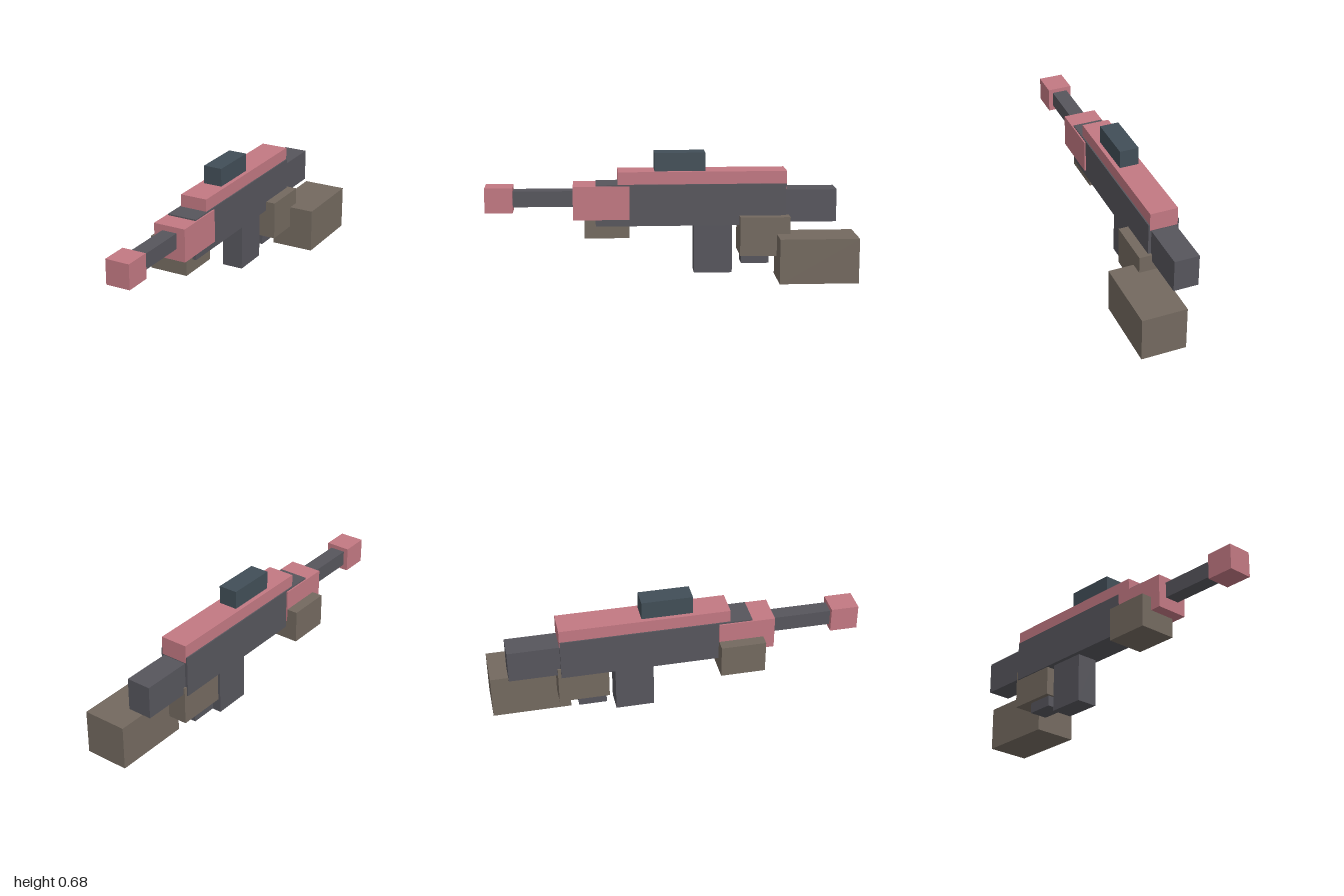
import * as THREE from 'three';

const material = (color) => new THREE.MeshStandardMaterial({ color, flatShading: true });

export function createModel() {
  const model = new THREE.Group();
  const dark = material(0x56555c);
  const pink = material(0xc27882);
  const brown = material(0x73695f);
  const slate = material(0x414e57);

  // Box given by its extents along each axis
  function block(name, mat, [x0, x1], [y0, y1], [z0, z1]) {
    const mesh = new THREE.Mesh(new THREE.BoxGeometry(x1 - x0, y1 - y0, z1 - z0), mat);
    mesh.position.set((x0 + x1) / 2, (y0 + y1) / 2, (z0 + z1) / 2);
    mesh.name = name;
    model.add(mesh);
  }

  // Body, top cover and sight
  block('receiver', dark, [-0.145, 0.021], [0.285, 0.512], [-0.63, 0.404]);
  block('topCover', pink, [-0.138, 0.014], [0.48, 0.58], [-0.632, 0.284]);
  block('sight', slate, [-0.114, -0.009], [0.575, 0.68], [-0.19, 0.085]);

  // Front end
  block('handguard', pink, [-0.153, 0.029], [0.322, 0.505], [0.222, 0.526]);
  block('barrel', dark, [-0.105, -0.02], [0.388, 0.474], [0.4, 0.87]);
  block('muzzle', pink, [-0.13, 0.005], [0.36, 0.497], [0.85, 1]);

  // Stock, magazine and grip
  block('stock', dark, [-0.13, 0.005], [0.297, 0.475], [-0.906, -0.6]);
  block('magazine', dark, [-0.122, -0.001], [0.016, 0.3], [-0.338, -0.13]);
  block('grip', dark, [-0.114, -0.009], [0.065, 0.3], [-0.54, -0.389]);

  // Hands and forearm
  block('supportHand', brown, [-0.214, -0.001], [0.215, 0.397], [0.222, 0.465]);
  block('gripHand', brown, [-0.138, 0.075], [0.124, 0.337], [-0.647, -0.375]);
  block('forearm', brown, [-0.03, 0.213], [0, 0.244], [-1, -0.574]);

  return model;
}
